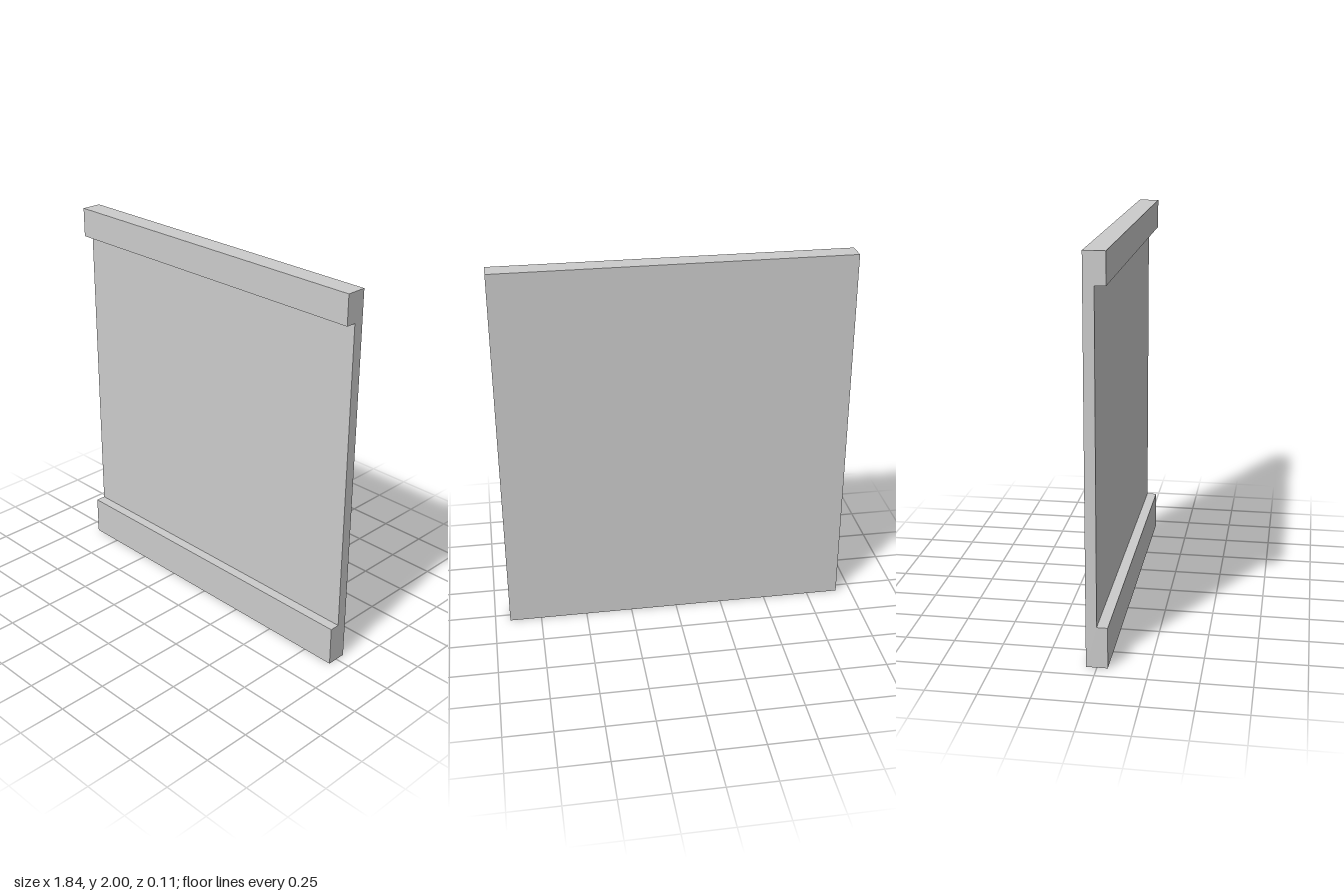
import * as THREE from 'three';

const WIDTH = 1.84, HEIGHT = 2;
const BACK = -0.053, FACE = 0, FRONT = 0.053; // z of back, recessed face and rail fronts
const BOTTOM_RAIL = 0.21, TOP_RAIL = 1.846;   // y of the inner rail edges

export function createModel() {
  const group = new THREE.Group();
  group.name = 'railedPanel';

  // C-shaped side profile (z, y): thin panel with a rail along the bottom and the top
  const profile = new THREE.Shape([
    [BACK, 0], [FRONT, 0], [FRONT, BOTTOM_RAIL], [FACE, BOTTOM_RAIL],
    [FACE, TOP_RAIL], [FRONT, TOP_RAIL], [FRONT, HEIGHT], [BACK, HEIGHT],
  ].map(([z, y]) => new THREE.Vector2(z, y)));

  // Swept across the full width
  const geometry = new THREE.ExtrudeGeometry(profile, { depth: WIDTH, bevelEnabled: false });
  geometry.translate(0, 0, -WIDTH / 2).rotateY(-Math.PI / 2);

  const panel = new THREE.Mesh(geometry, new THREE.MeshStandardMaterial({ color: 0xcccccc, flatShading: true }));
  panel.name = 'panelWithRails';
  group.add(panel);
  return group;
}
